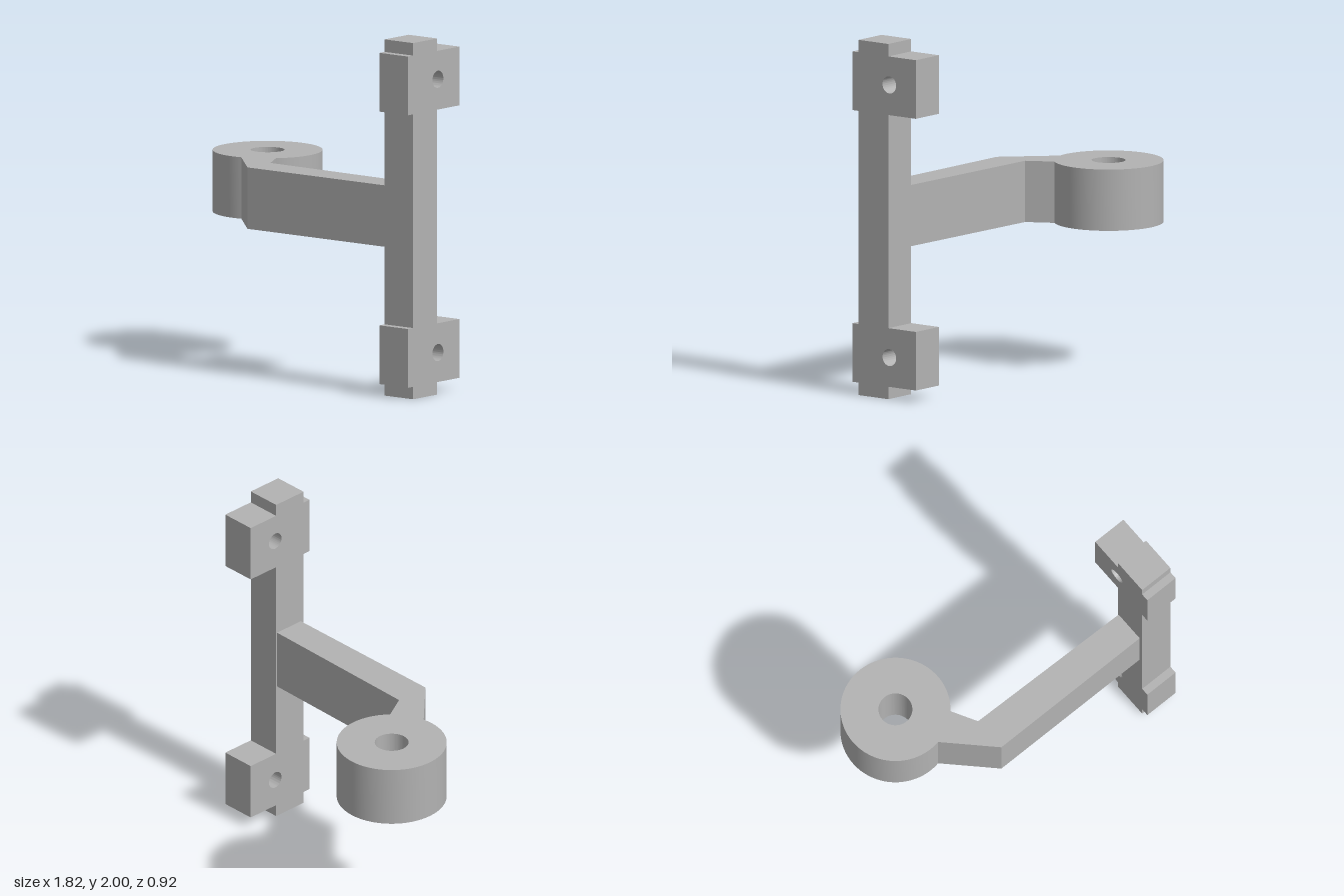
import * as THREE from 'three';
import { toCreasedNormals } from 'three/addons/utils/BufferGeometryUtils.js';

const grey = new THREE.MeshStandardMaterial({ color: 0xb2b2b2 });
grey.name = 'grey';

function extrude(shape, depth) {
  return new THREE.ExtrudeGeometry(shape, { depth, bevelEnabled: false, curveSegments: 64 });
}

function circleHole(shape, x, y, r) {
  const hole = new THREE.Path();
  hole.absarc(x, y, r, 0, Math.PI * 2, true);
  shape.holes.push(hole);
}

function part(name, geometry) {
  const mesh = new THREE.Mesh(toCreasedNormals(geometry, 0.5), grey);
  mesh.name = name;
  return mesh;
}

export function createModel() {
  const model = new THREE.Group();
  model.name = 'bracket';

  // Upright bar with two drilled tabs, drawn as (z, y) and extruded along x
  const zBack = 0.01, zBarBack = 0.205, zBarFront = 0.415, zFront = 0.46;
  const tabs = [[0.07, 0.4], [1.6, 1.93]];
  const back = [], front = [];
  for (const [low, high] of tabs) {
    back.push([zBarBack, low], [zBack, low], [zBack, high], [zBarBack, high]);
    front.push([zBarFront, low], [zFront, low], [zFront, high], [zBarFront, high]);
  }
  const outline = [
    [zBarBack, 0], ...back, [zBarBack, 2],
    [zBarFront, 2], ...front.reverse(), [zBarFront, 0],
  ];
  const plate = new THREE.Shape(outline.map(([z, y]) => new THREE.Vector2(-z, y)));
  for (const y of [0.235, 1.77]) circleHole(plate, -0.198, y, 0.048);
  const plateGeometry = extrude(plate, 0.204).rotateY(Math.PI / 2).translate(0.704, 0, 0);
  model.add(part('mountingPlate', plateGeometry));

  // Cranked arm and ring in one outline, drawn as (x, -z) and extruded upward
  const cx = -0.603, cy = 0.155;
  const arm = new THREE.Shape();
  arm.absarc(cx, cy, 0.305, -0.732, Math.PI * 2 - 1.381, false);
  arm.lineTo(-0.297, -0.394);
  arm.lineTo(0.704, -0.394);
  arm.lineTo(0.704, -0.212);
  arm.lineTo(-0.297, -0.193);
  arm.closePath();
  circleHole(arm, cx, cy, 0.094);
  const armGeometry = extrude(arm, 0.345).rotateX(-Math.PI / 2).translate(0, 0.831, 0);
  model.add(part('armWithRing', armGeometry));

  return model;
}
